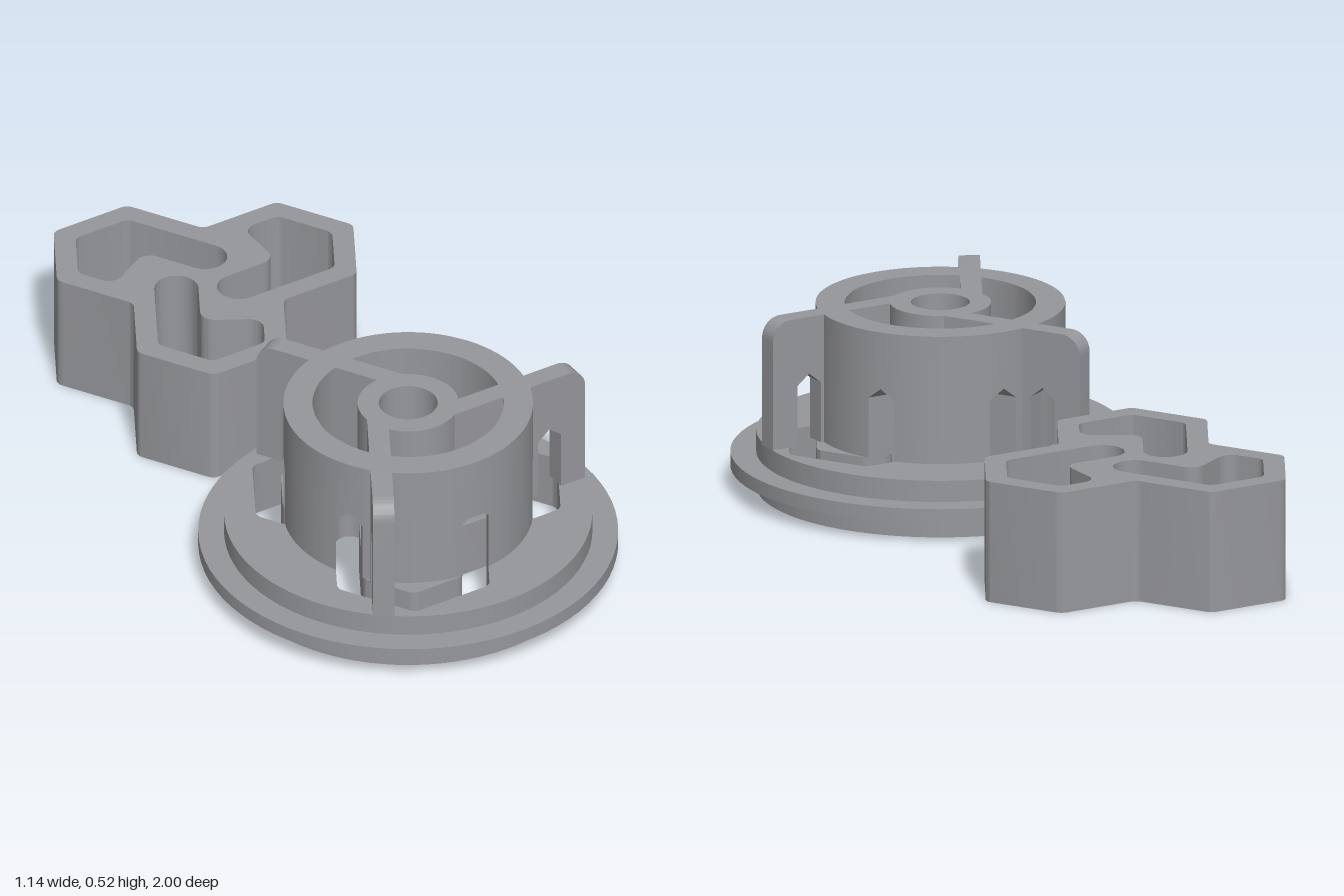
import * as THREE from 'three';
import { mergeGeometries, toCreasedNormals } from 'three/addons/utils/BufferGeometryUtils.js';

const THIRD = Math.PI * 2 / 3;
const HEX = 0.235;              // hexagon lobe radius
const TOP = 0.52, DECK = 0.16;  // top of the tower, top of the disc

// Path through [x, z, radius] corners, each rounded
function rounded(corners, path) {
  const n = corners.length;
  corners.forEach(([x, y, r], i) => {
    const p = new THREE.Vector2(x, y);
    const a = new THREE.Vector2(...corners[(i + n - 1) % n].slice(0, 2)).sub(p).normalize();
    const b = new THREE.Vector2(...corners[(i + 1) % n].slice(0, 2)).sub(p).normalize();
    const turn = Math.PI - Math.acos(THREE.MathUtils.clamp(a.dot(b), -1, 1));
    const t = r * Math.tan(turn / 2), c = t - r * Math.tan(turn / 4) * 4 / 3;
    const at = (d, l) => [x + d.x * l, y + d.y * l];
    if (i) path.lineTo(...at(a, t)); else path.moveTo(...at(a, t));
    path.bezierCurveTo(...at(a, c), ...at(b, c), ...at(b, t));
  });
  path.closePath();
  return path;
}

const spin = ([x, y, r], k) => {
  const c = Math.cos(k * THIRD), s = Math.sin(k * THIRD);
  return [x * c - y * s, x * s + y * c, r];
};

// Outline of three hexagons meeting at one point
function trefoil(R, path) {
  const h = R * Math.sqrt(3) / 2, pts = [];
  for (let k = 0; k < 3; k++) {
    for (const p of [[R * 1.5, -h, 0.03], [R * 2, 0, 0.03], [R * 1.5, h, 0.03], [R / 2, h, 0.03]]) pts.push(spin(p, k));
  }
  return rounded(pts, path);
}

// Hooked pocket inside lobe k, shrunk by d
function pocket(k, d, path) {
  const a = 0.145 - d, r = a * 2 / Math.sqrt(3), e = 0.0595 - d;
  return rounded([
    [0.206 + d, -a, 0.04], [HEX + r / 2, -a, 0.03], [HEX + r, 0, 0.03], [HEX + r / 2, a, 0.03],
    [d - 0.01, a, e], [d - 0.01, 0.025 + d, e], [0.206 + d, 0.025 + d, 0.04],
  ].map((p) => spin(p, k)), path);
}

function circle(r, path) {
  path.absarc(0, 0, r, 0, Math.PI * 2);
  return path;
}

// Plan shape raised from y0 to y1
function raise(shape, y0, y1, curveSegments = 8) {
  const g = new THREE.ExtrudeGeometry(shape, { depth: y1 - y0, bevelEnabled: false, curveSegments });
  g.rotateX(Math.PI / 2).translate(0, y1, 0);
  return toCreasedNormals(g, 0.5);
}

// Ring wall with a flat top; stations are [inner angle, outer angle, bottom height]
function ringWall(rin, rout, stations) {
  const pos = [];
  const pt = (r, a, y) => [r * Math.cos(a), y, r * Math.sin(a)];
  const quad = (a, b, c, d) => pos.push(...a, ...b, ...c, ...a, ...c, ...d);
  for (let i = 0; i + 1 < stations.length; i++) {
    const [p, q] = [stations[i], stations[i + 1]].map(([ai, ao, y]) => ({
      ib: pt(rin, ai, y), ob: pt(rout, ao, y), it: pt(rin, ai, TOP), ot: pt(rout, ao, TOP),
    }));
    quad(p.ob, q.ob, q.ib, p.ib);
    if (Math.abs(stations[i][1] - stations[i + 1][1]) < 1e-6) continue;
    quad(q.ob, p.ob, p.ot, q.ot);
    quad(p.ib, q.ib, q.it, p.it);
    quad(p.ot, p.it, q.it, q.ot);
  }
  const g = new THREE.BufferGeometry();
  g.setAttribute('position', new THREE.Float32BufferAttribute(pos, 3));
  return toCreasedNormals(g, 0.5);
}

// Tower tube with pointed slots where the channel passes through
function tubeGeometry() {
  const rin = 0.26, rout = 0.339, near = 0.137, mid = 0.172, far = 0.207;
  const st = [];
  const angles = (d) => [Math.asin(d / rin), Math.asin(d / rout)];
  for (let k = 0; k < 3; k++) {
    const add = ([i, o], y) => st.push([i + k * THIRD, o + k * THIRD, y]);
    const span = (a, b, n) => {
      for (let j = 0; j <= n; j++) add([0, 1].map((m) => a[m] + (b[m] - a[m]) * j / n), DECK);
    };
    add(angles(-far), 0.33);
    add(angles(-mid), 0.36);
    add(angles(-near), 0.33);
    span(angles(-near), angles(near), 12);
    add(angles(near), 0.33);
    add(angles(mid), 0.36);
    add(angles(far), 0.33);
    span(angles(far), angles(-far).map((a) => a + THIRD), 10);
  }
  st.push([st[0][0] + THIRD * 3, st[0][1] + THIRD * 3, st[0][2]]);
  return ringWall(rin, rout, st);
}

// Central hub standing on the three island tips
function hubGeometry() {
  const st = [], deg = Math.PI / 180;
  for (let k = 0; k < 3; k++) {
    const add = (a, y) => st.push([(a + k * 120) * deg, (a + k * 120) * deg, y]);
    for (let a = 20; a <= 80; a += 10) add(a, DECK);
    for (let a = 80; a <= 140; a += 10) add(a, 0.33 + 0.03 * (1 - Math.abs(a - 110) / 30));
  }
  st.push([380 * deg, 380 * deg, DECK]);
  return ringWall(0.08, 0.138, st);
}

// Upright fin from hub to rim, notched over the channel
function finGeometry() {
  const s = new THREE.Shape();
  s.moveTo(0.06, DECK);
  [[0.344, DECK], [0.344, 0.33], [0.381, 0.36], [0.418, 0.33], [0.418, DECK], [0.495, DECK], [0.495, TOP - 0.055]]
    .forEach((p) => s.lineTo(...p));
  s.absarc(0.44, TOP - 0.055, 0.055, 0, Math.PI / 2);
  s.lineTo(0.06, TOP);
  s.closePath();
  const g = new THREE.ExtrudeGeometry(s, { depth: 0.058, bevelEnabled: false, curveSegments: 8 });
  return toCreasedNormals(g.translate(0, 0, 0.057), 0.5);
}

export function createModel() {
  const grey = new THREE.MeshStandardMaterial({ color: 0x96979b });
  grey.name = 'plain grey';
  const model = new THREE.Group();
  model.name = 'keyedHolder';
  const add = (parent, name, geometry) => {
    const m = new THREE.Mesh(geometry, grey);
    m.name = name;
    parent.add(m);
    return m;
  };

  // Holder: disc with trefoil channel, flange, islands and tower
  const holder = new THREE.Group();
  holder.name = 'holder';
  holder.position.z = 0.43;
  model.add(holder);

  const disc = circle(0.5, new THREE.Shape());
  disc.holes.push(trefoil(HEX + 0.004, new THREE.Path()));
  add(holder, 'baseDisc', raise(disc, 0, DECK, 40));

  const flange = circle(0.57, new THREE.Shape());
  flange.holes.push(circle(0.49, new THREE.Path()));
  add(holder, 'flange', raise(flange, 0.06, 0.1, 40));

  const islands = [0, 1, 2].map((k) => raise(pocket(k, 0.01, new THREE.Shape()), 0, DECK));
  add(holder, 'channelIslands', mergeGeometries(islands));
  add(holder, 'towerTube', tubeGeometry());
  add(holder, 'hub', hubGeometry());
  const fin = finGeometry();
  for (let k = 0; k < 3; k++) add(holder, 'fin', fin).rotation.y = -k * THIRD;

  // Trefoil key block with three hooked pockets
  const key = trefoil(HEX, new THREE.Shape());
  for (let k = 0; k < 3; k++) key.holes.push(pocket(k, 0, new THREE.Path()));
  add(model, 'trefoilKey', raise(key, 0, 0.34)).position.z = -0.593;

  return model;
}
